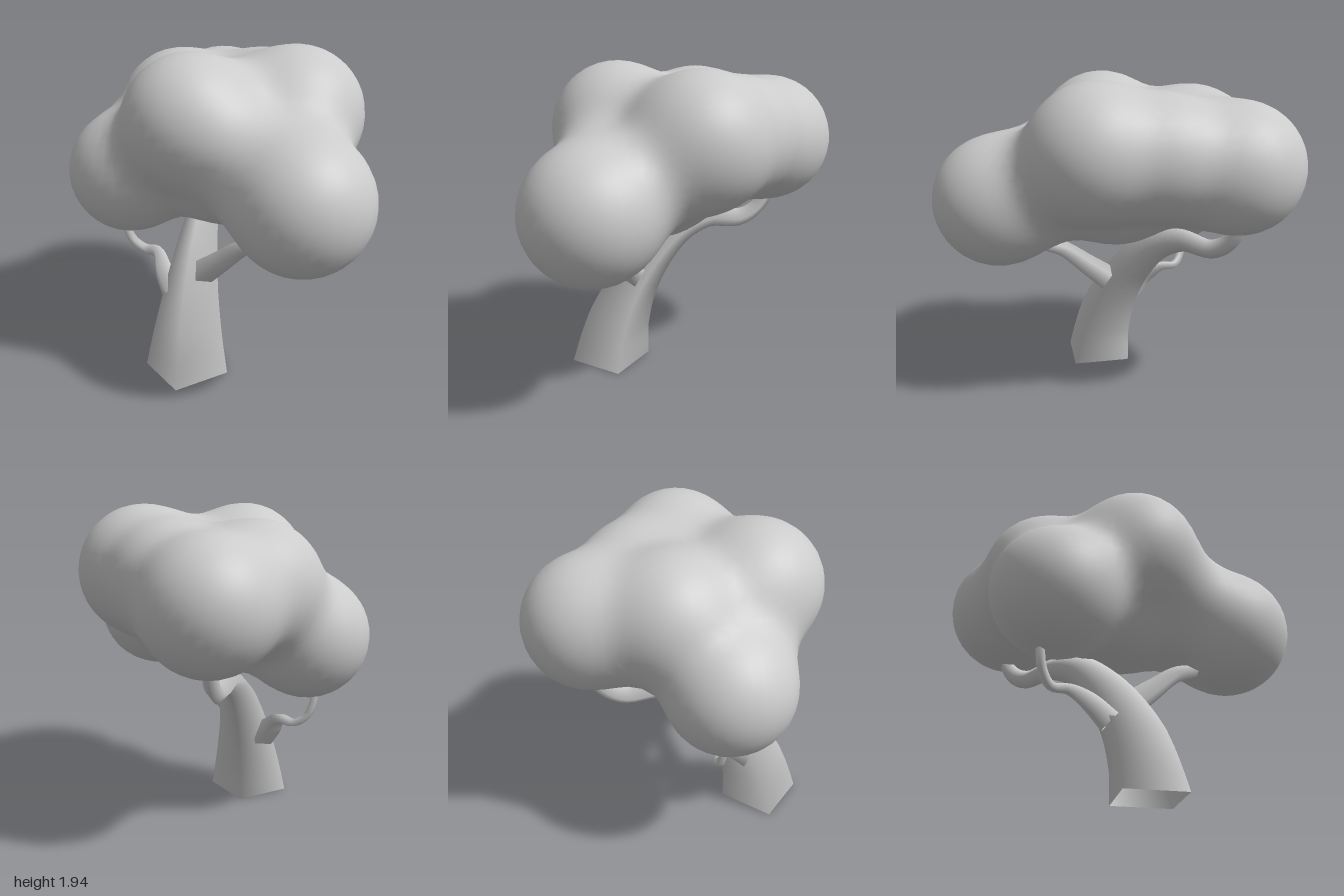
import * as THREE from 'three';

const material = new THREE.MeshStandardMaterial({ color: 0xcccccc, side: THREE.DoubleSide });

// Four-sided tapering limb through points [x, y, z, radius]; rings near the ground lie level
function limb(name, points, rings) {
  const curve = new THREE.CatmullRomCurve3(points.map(([x, y, z]) => new THREE.Vector3(x, y, z)));
  const geometry = new THREE.TubeGeometry(curve, rings, 1, 4);
  const pos = geometry.attributes.position;
  const v = new THREE.Vector3();
  for (let i = 0; i <= rings; i++) {
    const centre = curve.getPointAt(i / rings);
    const s = curve.getUtoTmapping(i / rings) * (points.length - 1);
    const k = Math.min(Math.floor(s), points.length - 2);
    const radius = THREE.MathUtils.lerp(points[k][3], points[k + 1][3], s - k);
    for (let j = 0; j <= 4; j++) {
      const n = i * 5 + j;
      v.fromBufferAttribute(pos, n).sub(centre).multiplyScalar(radius);
      v.y *= Math.min(1, centre.y / 0.3);
      v.add(centre);
      pos.setXYZ(n, v.x, v.y, v.z);
    }
  }
  const mesh = new THREE.Mesh(geometry, material);
  mesh.name = name;
  return mesh;
}

// Foliage lobes: centre and radius
const lobes = {
  frontLeft: [0.55, 1.21, 0.61, 0.375],
  right: [-0.57, 1.16, 0.08, 0.36],
  topFront: [-0.12, 1.55, 0.34, 0.355],
  topLeft: [0.425, 1.54, -0.03, 0.35],
  back: [-0.14, 1.43, -0.63, 0.345],
  topBack: [0.17, 1.52, -0.33, 0.33],
  topRight: [-0.31, 1.485, -0.2, 0.345],
  core: [0.02, 1.28, 0.12, 0.335],
};

// Thick bridges that fill the valleys between lobes
const bridges = [
  ['frontLeft', 'topLeft', 0.28], ['frontLeft', 'topFront', 0.29], ['frontLeft', 'core', 0.29],
  ['right', 'topFront', 0.28], ['right', 'topRight', 0.25], ['right', 'core', 0.28],
  ['topFront', 'topLeft', 0.3], ['topFront', 'topRight', 0.28], ['topRight', 'topLeft', 0.3],
  ['back', 'topLeft', 0.32], ['back', 'topRight', 0.32], ['back', 'core', 0.29],
  ['core', 'topLeft', 0.3],
].map(([a, b, r]) => ({
  line: new THREE.Line3(new THREE.Vector3(...lobes[a]), new THREE.Vector3(...lobes[b])), r,
}));
const balls = Object.values(lobes).map(([x, y, z, r]) => ({ c: new THREE.Vector3(x, y, z), r }));

// Smoothly blended distance to all lobes and bridges
const near = new THREE.Vector3();
function distance(p) {
  const blend = 0.05;
  let sum = 0;
  for (const { c, r } of balls) sum += Math.exp((r - p.distanceTo(c)) / blend);
  for (const { line, r } of bridges) {
    line.closestPointToPoint(p, true, near);
    sum += Math.exp((r - p.distanceTo(near)) / blend);
  }
  return -blend * Math.log(sum);
}

function gradient(p) {
  const e = 0.002;
  const g = [0, 1, 2].map((a) => {
    const hi = p.clone(), lo = p.clone();
    hi.setComponent(a, p.getComponent(a) + e);
    lo.setComponent(a, p.getComponent(a) - e);
    return (distance(hi) - distance(lo)) / (2 * e);
  });
  return new THREE.Vector3(...g);
}

// Skin over the blended lobes: one vertex per grid cell, one quad per crossed grid edge
function foliageGeometry() {
  const step = 0.065, origin = [-1.1, 0.6, -1.15], size = [34, 24, 36];
  const at = (i, offset) => new THREE.Vector3(...i.map((n, a) => origin[a] + (n + offset) * step));
  const key = (i) => (i[0] * size[1] + i[1]) * size[2] + i[2];
  const values = new Float32Array(size[0] * size[1] * size[2]);
  const eachCell = (visit) => {
    for (let x = 1; x < size[0]; x++)
      for (let y = 1; y < size[1]; y++)
        for (let z = 1; z < size[2]; z++) visit([x, y, z]);
  };
  values.fill(1);
  eachCell((i) => { values[key(i)] = distance(at(i, 0)); });

  const positions = [], normals = [], index = [], made = new Map();
  const vertex = (cell) => {
    const id = key(cell);
    if (!made.has(id)) {
      const p = at(cell, 0.5);
      for (let n = 0; n < 5; n++) {
        const g = gradient(p);
        p.addScaledVector(g, -distance(p) / Math.max(g.lengthSq(), 0.2));
      }
      made.set(id, positions.length / 3);
      positions.push(...p.toArray());
      normals.push(...gradient(p).normalize().toArray());
    }
    return made.get(id);
  };
  eachCell((i) => {
    for (let a = 0; a < 3; a++) {
      const b = (a + 1) % 3, c = (a + 2) % 3;
      const next = [...i];
      next[a]++;
      if (next[a] >= size[a]) continue;
      const inside = values[key(i)] < 0;
      if (inside === values[key(next)] < 0) continue;
      const quad = [[1, 1], [0, 1], [0, 0], [1, 0]].map(([db, dc]) => {
        const cell = [...i];
        cell[b] -= db;
        cell[c] -= dc;
        return vertex(cell);
      });
      if (!inside) quad.reverse();
      index.push(quad[0], quad[1], quad[2], quad[0], quad[2], quad[3]);
    }
  });
  const geometry = new THREE.BufferGeometry();
  geometry.setAttribute('position', new THREE.Float32BufferAttribute(positions, 3));
  geometry.setAttribute('normal', new THREE.Float32BufferAttribute(normals, 3));
  geometry.setIndex(index);
  return geometry;
}

export function createModel() {
  const tree = new THREE.Group();
  tree.name = 'tree';

  // Leaning trunk that bends towards the back
  tree.add(limb('trunk', [
    [-0.15, 0, 0.415, 0.257], [-0.15, 0.24, 0.365, 0.213], [-0.15, 0.48, 0.265, 0.168],
    [-0.15, 0.7, 0.115, 0.13], [-0.15, 0.86, -0.06, 0.1], [-0.15, 0.925, -0.25, 0.073],
    [-0.15, 0.905, -0.46, 0.06], [-0.15, 0.97, -0.58, 0.052], [-0.15, 1.1, -0.66, 0.045],
    [-0.15, 1.22, -0.68, 0.04],
  ], 48));

  // Straight branch to the front left lobe
  tree.add(limb('frontBranch', [
    [-0.115, 0.56, 0.25, 0.088], [0.05, 0.71, 0.34, 0.068], [0.2, 0.845, 0.42, 0.05],
    [0.3, 0.89, 0.47, 0.042], [0.44, 0.95, 0.54, 0.035],
  ], 20));

  // Twisting branch to the right lobe
  tree.add(limb('rightBranch', [
    [-0.27, 0.43, 0.25, 0.085], [-0.35, 0.53, 0.18, 0.068], [-0.42, 0.615, 0.08, 0.038],
    [-0.52, 0.61, 0.03, 0.03], [-0.6, 0.67, 0.03, 0.028], [-0.64, 0.8, 0.04, 0.026],
    [-0.63, 0.92, 0.05, 0.024],
  ], 28));

  const foliage = new THREE.Mesh(foliageGeometry(), material);
  foliage.name = 'foliage';
  tree.add(foliage);
  return tree;
}
